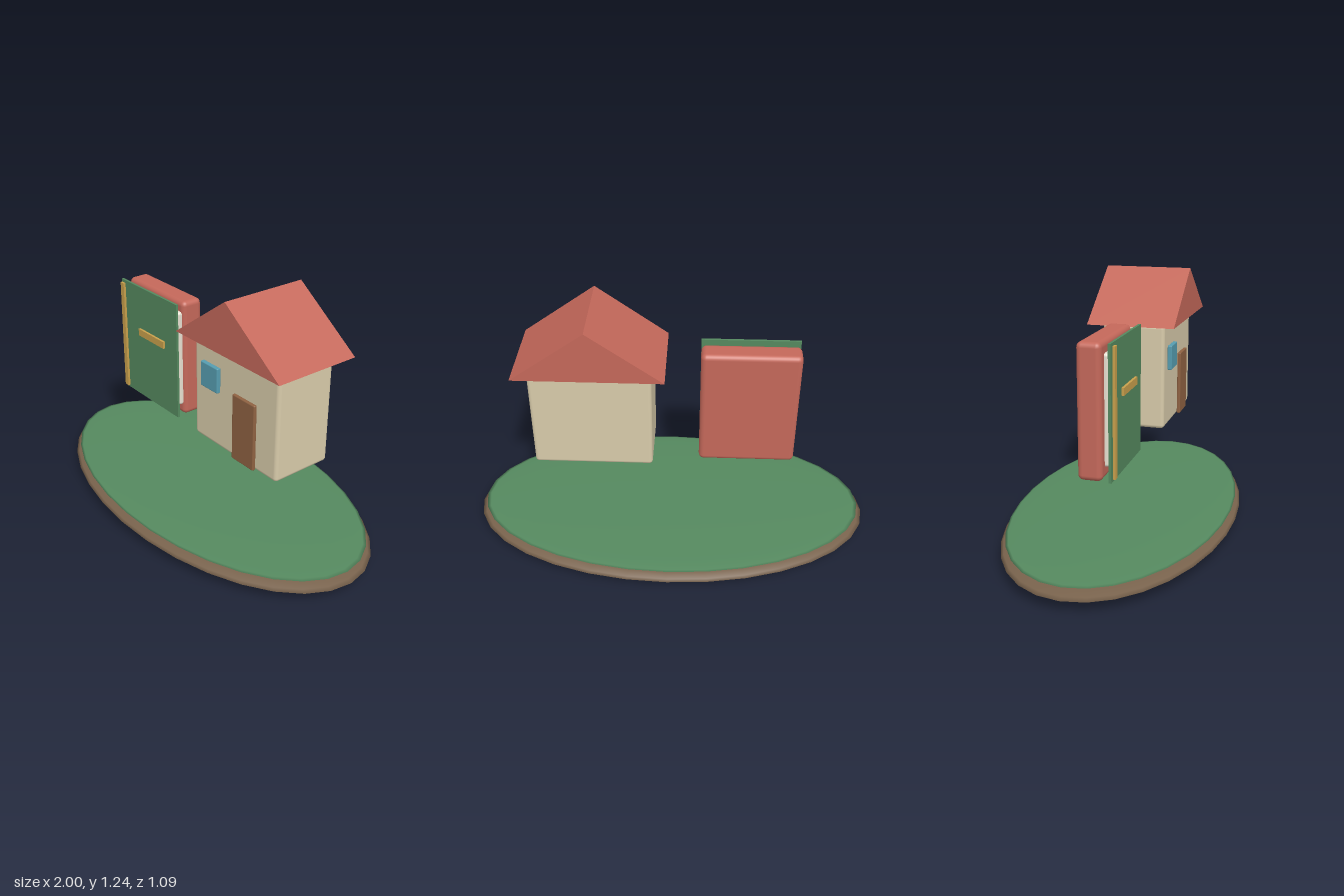
import * as THREE from 'three';
import { RoundedBoxGeometry } from 'three/addons/geometries/RoundedBoxGeometry.js';

const material = (color) => new THREE.MeshStandardMaterial({ color });
const RED = material(0xc4685a);
const CREAM = material(0xd8cbaa);
const GREEN = material(0x55895f);
const BROWN = material(0x78624c);
const WOOD = material(0x8f6242);
const BLUE = material(0x569db0);
const GOLD = material(0xc9a04c);
const PAPER = material(0xe6dfd0);

// Box given by its extents; a radius rounds the edges
function box(name, mat, [x0, x1], [y0, y1], [z0, z1], radius = 0) {
  const size = [x1 - x0, y1 - y0, z1 - z0];
  const geometry = radius
    ? new RoundedBoxGeometry(...size, 3, radius)
    : new THREE.BoxGeometry(...size);
  const mesh = new THREE.Mesh(geometry, mat);
  mesh.name = name;
  mesh.position.set((x0 + x1) / 2, (y0 + y1) / 2, (z0 + z1) / 2);
  return mesh;
}

// Flattened ball used for the layers of the island
function lens(name, mat, y, rx, ry, rz) {
  const mesh = new THREE.Mesh(new THREE.SphereGeometry(1, 32, 16), mat);
  mesh.name = name;
  mesh.position.y = y;
  mesh.scale.set(rx, ry, rz);
  return mesh;
}

function group(name, ...parts) {
  const g = new THREE.Group();
  g.name = name;
  g.add(...parts);
  return g;
}

// Gabled prism with its ridge along z
function gableRoof() {
  const gable = new THREE.Shape([
    new THREE.Vector2(0.02, 0.99),
    new THREE.Vector2(0.72, 0.99),
    new THREE.Vector2(0.37, 1.24),
  ]);
  const geometry = new THREE.ExtrudeGeometry(gable, { depth: 0.436, bevelEnabled: false });
  const mesh = new THREE.Mesh(geometry, RED);
  mesh.name = 'roof';
  mesh.position.z = -0.218;
  return mesh;
}

export function createModel() {
  // Island: earth below, grass on top
  const island = group('island',
    lens('earth', BROWN, 0.06, 1, 0.055, 0.546),
    lens('grass', GREEN, 0.107, 0.973, 0.015, 0.523));

  // House
  const house = group('house',
    box('walls', CREAM, [0.083, 0.657], [0.467, 0.99], [-0.155, 0.157], 0.018),
    gableRoof(),
    box('door', WOOD, [0.375, 0.523], [0.47, 0.798], [0.157, 0.175], 0.005),
    box('window', BLUE, [0.152, 0.273], [0.756, 0.88], [0.157, 0.179], 0.005));

  // Upright book: back block, pages, front cover and gilding
  const book = group('book',
    box('bookBlock', RED, [-0.61, -0.14], [0.425, 1.037], [-0.056, 0.056], 0.025),
    box('pages', PAPER, [-0.562, -0.155], [0.48, 0.985], [0.03, 0.077], 0.015),
    box('frontCover', GREEN, [-0.61, -0.14], [0.427, 1.037], [0.088, 0.1]),
    box('spineStrip', GOLD, [-0.598, -0.57], [0.442, 1.025], [0.104, 0.116]),
    box('titleBar', GOLD, [-0.453, -0.238], [0.777, 0.813], [0.1, 0.112]));

  return group('islandWithHouseAndBook', island, house, book);
}
